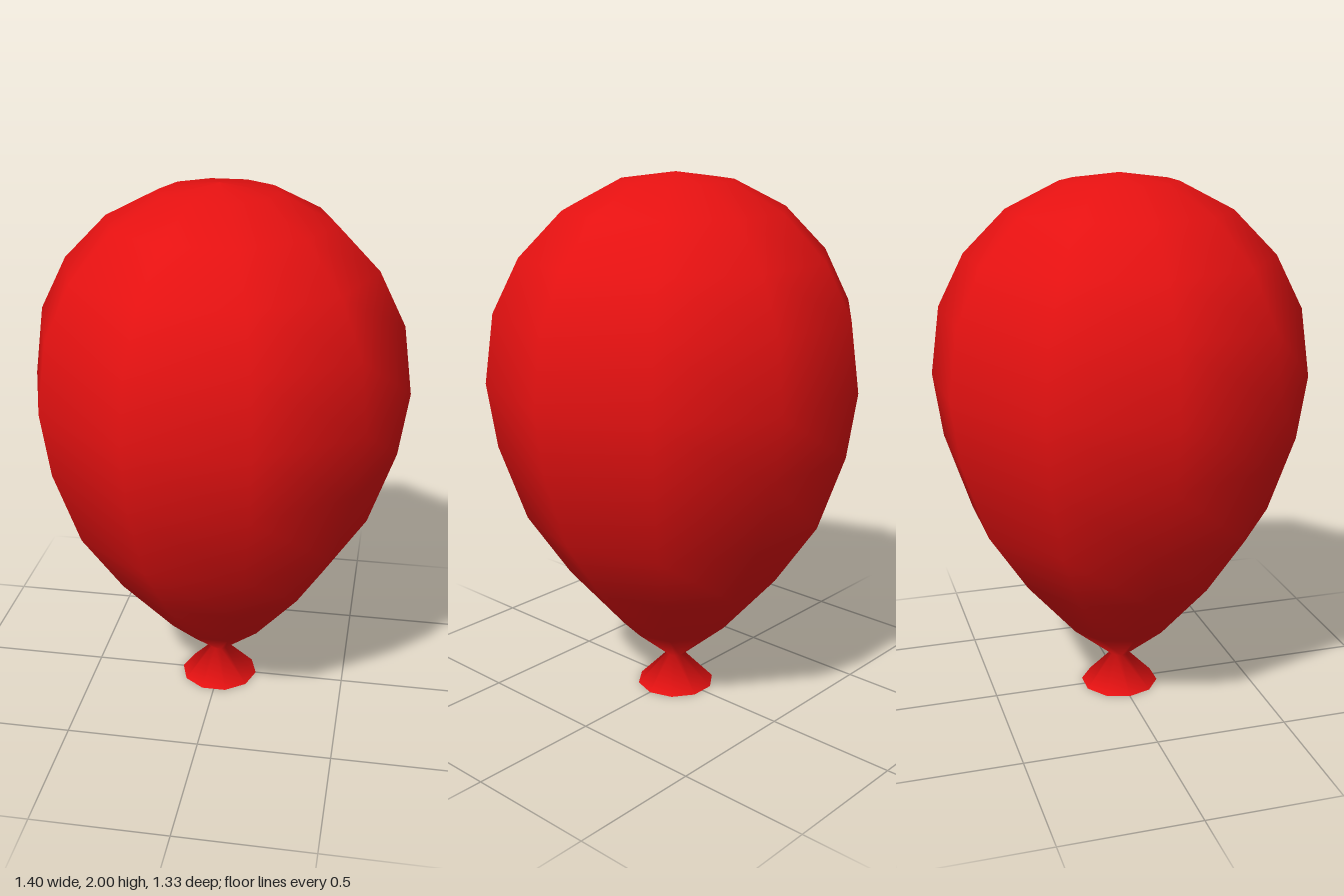
import * as THREE from 'three';

const SIDES = 10;

// Revolve a profile of [radius, height] pairs, with a corner on the x axis
function revolve(name, profile, material) {
  const points = profile.map(([r, y]) => new THREE.Vector2(r, y));
  const mesh = new THREE.Mesh(new THREE.LatheGeometry(points, SIDES, Math.PI / 2), material);
  mesh.name = name;
  return mesh;
}

export function createModel() {
  const group = new THREE.Group();
  group.name = 'balloon';
  const red = new THREE.MeshStandardMaterial({ color: 0xe51111 });

  // Inflated body, pinched neck and flared knot
  group.add(revolve('balloonSkin', [
    [0.15, 0], [0.035, 0.12], [0.205, 0.265], [0.41, 0.5], [0.567, 0.735], [0.665, 1.02],
    [0.7, 1.26], [0.665, 1.515], [0.567, 1.71], [0.41, 1.87], [0.215, 1.97], [0, 2],
  ], red));

  // Shallow hollow under the knot
  group.add(revolve('knotHollow', [[0, 0.045], [0.15, 0]], red));

  return group;
}
